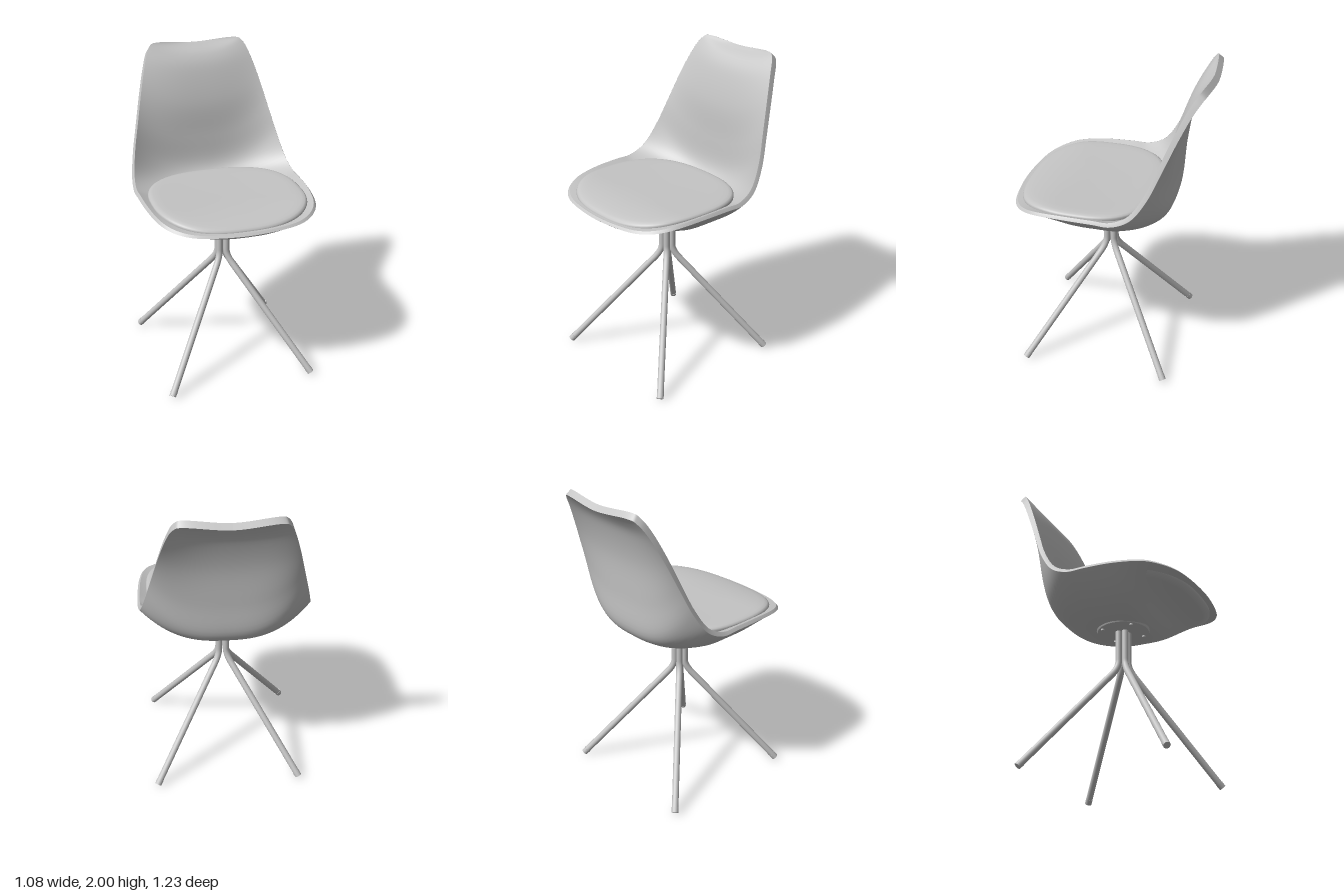
import * as THREE from 'three';

const grey = new THREE.MeshStandardMaterial({ color: 0xc4c4c4 });
grey.name = 'light grey';

const CENTRE_Z = 0.04; // axis of the pedestal

// Shell stations, front lip to top of the back:
// rim x, y, z | outer centre y, z | inner centre y, z
const STATIONS = [
  [0, 1.125, 0.613, 1.125, 0.613, 1.138, 0.6],
  [0.2, 1.128, 0.597, 1.12, 0.597, 1.138, 0.585],
  [0.34, 1.135, 0.562, 1.115, 0.55, 1.14, 0.54],
  [0.44, 1.15, 0.49, 1.1, 0.47, 1.14, 0.46],
  [0.502, 1.17, 0.38, 1.07, 0.36, 1.13, 0.35],
  [0.532, 1.183, 0.2, 0.985, 0.2, 1.11, 0.2],
  [0.54, 1.185, 0.02, 0.975, 0.03, 1.1, 0],
  [0.54, 1.185, -0.1, 0.99, -0.13, 1.11, -0.13],
  [0.525, 1.24, -0.215, 1.04, -0.3, 1.14, -0.27],
  [0.495, 1.37, -0.305, 1.13, -0.387, 1.22, -0.345],
  [0.455, 1.53, -0.375, 1.35, -0.4, 1.4, -0.37],
  [0.41, 1.71, -0.45, 1.6, -0.42, 1.62, -0.39],
  [0.365, 1.86, -0.52, 1.8, -0.475, 1.82, -0.445],
  [0.325, 1.945, -0.572, 1.9, -0.535, 1.92, -0.5],
  [0.26, 1.97, -0.598, 1.95, -0.59, 1.97, -0.565],
  [0, 1.952, -0.615, 1.952, -0.615, 1.982, -0.585],
];

// Smooth interpolation of whole stations, mirrored past both ends
function station(t) {
  const last = STATIONS.length - 1;
  const at = (i) => {
    if (i >= 0 && i <= last) return STATIONS[i];
    const [x, ...rest] = STATIONS[i < 0 ? -i : 2 * last - i];
    return [-x, ...rest];
  };
  const i = Math.min(Math.floor(t), last - 1), f = t - i;
  const [a, b, c, d] = [at(i - 1), at(i), at(i + 1), at(i + 2)];
  return b.map((_, k) => 0.5 * (2 * b[k] + (c[k] - a[k]) * f
    + (2 * a[k] - 5 * b[k] + 4 * c[k] - d[k]) * f * f
    + (3 * b[k] - a[k] - 3 * c[k] + d[k]) * f * f * f));
}

// Joins rows of points into a smooth surface; each row is a closed ring
function loft(rows, flip) {
  const n = rows[0].length, index = [];
  for (let r = 0; r < rows.length - 1; r++) {
    for (let j = 0; j < n; j++) {
      const a = r * n + j, b = r * n + (j + 1) % n, c = a + n, d = b + n;
      if (flip) index.push(a, b, c, b, d, c);
      else index.push(a, c, b, b, c, d);
    }
  }
  const g = new THREE.BufferGeometry();
  g.setAttribute('position', new THREE.Float32BufferAttribute(rows.flat(2), 3));
  g.setIndex(index);
  g.computeVertexNormals();
  return g;
}

function shellGeometry() {
  const STEPS = 6, ACROSS = 44, rows = [];
  const total = (STATIONS.length - 1) * STEPS;
  for (let r = 0; r <= total; r++) {
    const t = r / STEPS;
    const [x, y, z, cy, cz, iy, iz] = station(t);
    // the inner edge is set in from the outer rim, more so at the top
    const k = THREE.MathUtils.smoothstep(t, 0, 14);
    const ey = y + THREE.MathUtils.lerp(0.013, 0.03, k);
    const ez = z + THREE.MathUtils.lerp(-0.013, 0.03, k);
    const ring = [];
    const side = (w, py, pz, qy, qz, power, dir) => {
      for (let j = 0; j <= ACROSS; j++) {
        const s = dir * Math.sin((j / ACROSS - 0.5) * Math.PI);
        const f = Math.abs(s) ** power;
        ring.push([w * s, py + (qy - py) * f, pz + (qz - pz) * f]);
      }
    };
    side(x, cy, cz, y, z, 2.8, 1);
    side(x * 0.975, iy, iz, ey, ez, 2.5, -1);
    rows.push(ring);
  }
  return loft(rows, false);
}

// Seat pad: rounded-square rings, dropping at the front and rounded at the edge
function cushionGeometry() {
  const rings = [[0.001, 0], [0.25, 0], [0.5, 0], [0.7, 0], [0.85, 0], [0.93, -0.002],
    [0.97, -0.006], [0.99, -0.013], [1, -0.024], [0.99, -0.06], [0.9, -0.08]];
  const rows = rings.map(([s, drop]) => {
    const ring = [];
    for (let j = 0; j < 72; j++) {
      const a = (j / 72) * Math.PI * 2, c = Math.cos(a), d = Math.sin(a);
      const round = (v) => Math.sign(v) * Math.abs(v) ** (2 / 2.6);
      const x = 0.485 * s * round(c), z = 0.145 + 0.435 * s * round(d);
      const front = Math.max(0, z - 0.28) / 0.3;
      const y = 1.196 + 0.01 * s * s - 0.048 * front * front + drop;
      ring.push([x, y, z]);
    }
    return ring;
  });
  return loft(rows, true);
}

function add(parent, name, geometry, x = 0, y = 0, z = 0) {
  const mesh = new THREE.Mesh(geometry, grey);
  mesh.name = name;
  mesh.position.set(x, y, z);
  parent.add(mesh);
  return mesh;
}

// One bent tube leg heading to the diagonal (sx, sz), with its end cap
function addLeg(parent, sx, sz) {
  const p = (r, y) => new THREE.Vector3(sx * r, y, sz * r);
  const path = new THREE.CurvePath();
  const bendEnd = p(0.06, 0.665), foot = p(0.466, 0.016);
  path.add(new THREE.LineCurve3(p(0.023, 0.99), p(0.023, 0.77)));
  path.add(new THREE.QuadraticBezierCurve3(p(0.023, 0.77), p(0.023, 0.722), bendEnd));
  path.add(new THREE.LineCurve3(bendEnd, foot));
  const leg = new THREE.Group();
  leg.name = 'leg';
  leg.position.z = CENTRE_Z;
  add(leg, 'legTube', new THREE.TubeGeometry(path, 90, 0.021, 16, false));
  const dir = foot.clone().sub(bendEnd).normalize();
  const cap = add(leg, 'footCap', new THREE.CylinderGeometry(0.0225, 0.0215, 0.035, 16));
  cap.position.copy(foot).addScaledVector(dir, -0.0165);
  cap.quaternion.setFromUnitVectors(new THREE.Vector3(0, -1, 0), dir);
  parent.add(leg);
}

export function createModel() {
  const model = new THREE.Group();
  model.name = 'chair';

  add(model, 'seatShell', shellGeometry());
  add(model, 'seatCushion', cushionGeometry());

  // mounting plate under the shell, with four screws
  add(model, 'mountingPlate', new THREE.CylinderGeometry(0.185, 0.165, 0.04, 48), 0, 0.995, CENTRE_Z);
  for (const sx of [-1, 1]) {
    for (const sz of [-1, 1]) {
      add(model, 'screw', new THREE.CylinderGeometry(0.012, 0.012, 0.012, 12),
        sx * 0.1, 0.971, CENTRE_Z + sz * 0.1);
      addLeg(model, sx, sz);
    }
  }
  return model;
}
